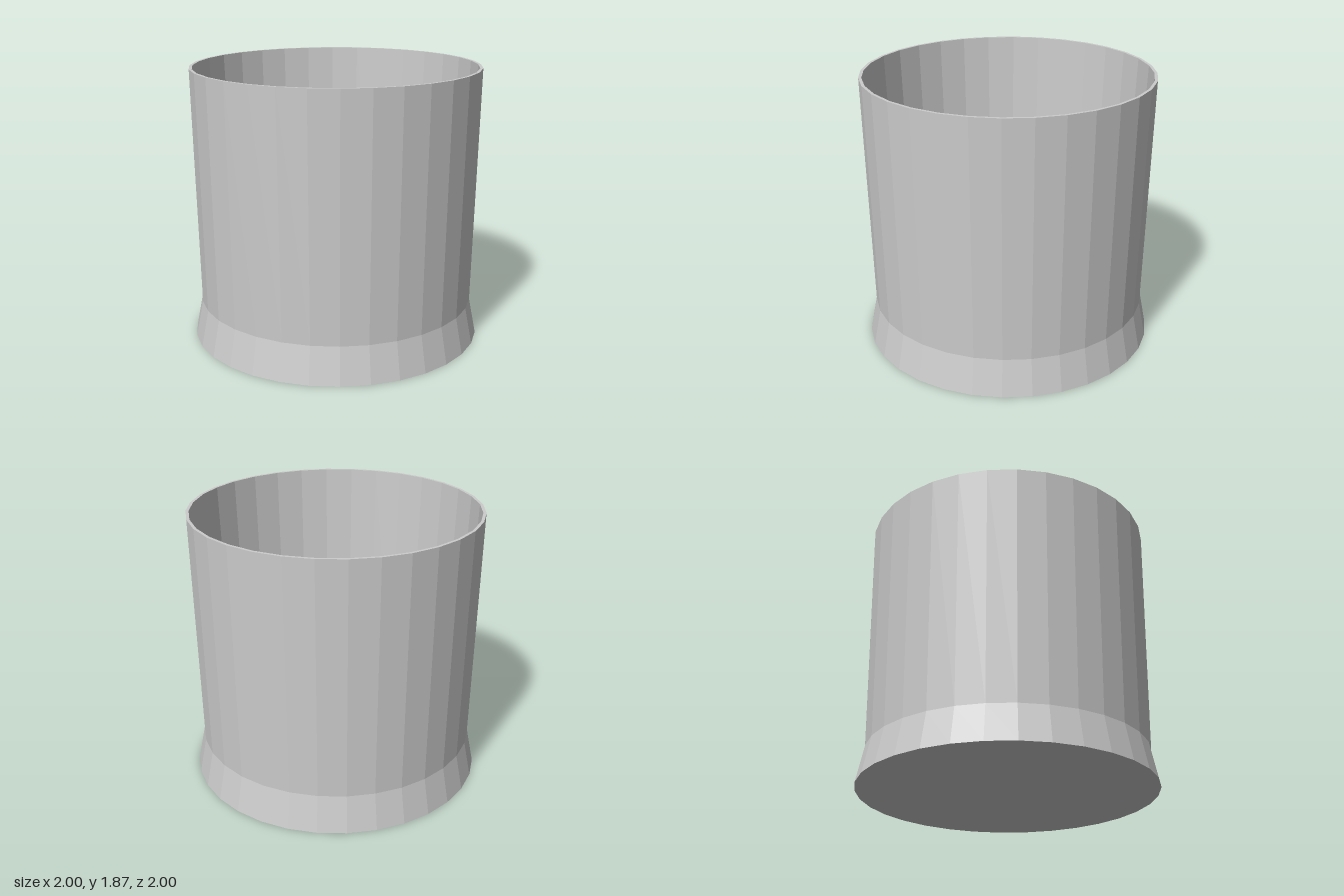
import * as THREE from 'three';

const SIDES = 32;

export function createModel() {
  const group = new THREE.Group();
  group.name = 'cup';
  const material = new THREE.MeshStandardMaterial({ color: 0xcccccc, flatShading: true });

  const lathe = (name, profile) => {
    const points = profile.map(([r, y]) => new THREE.Vector2(r, y));
    const mesh = new THREE.Mesh(new THREE.LatheGeometry(points, SIDES), material);
    mesh.name = name;
    group.add(mesh);
  };

  // Underside, flared foot and slightly widening outer wall
  lathe('outerWall', [[0, 0], [1, 0], [0.95, 0.25], [0.98, 1.87]]);
  // Thin flat lip
  lathe('rim', [[0.98, 1.87], [0.96, 1.87]]);
  // Tapered inner wall down to the floor
  lathe('innerWall', [[0.96, 1.87], [0.895, 0.15], [0, 0.15]]);

  return group;
}
